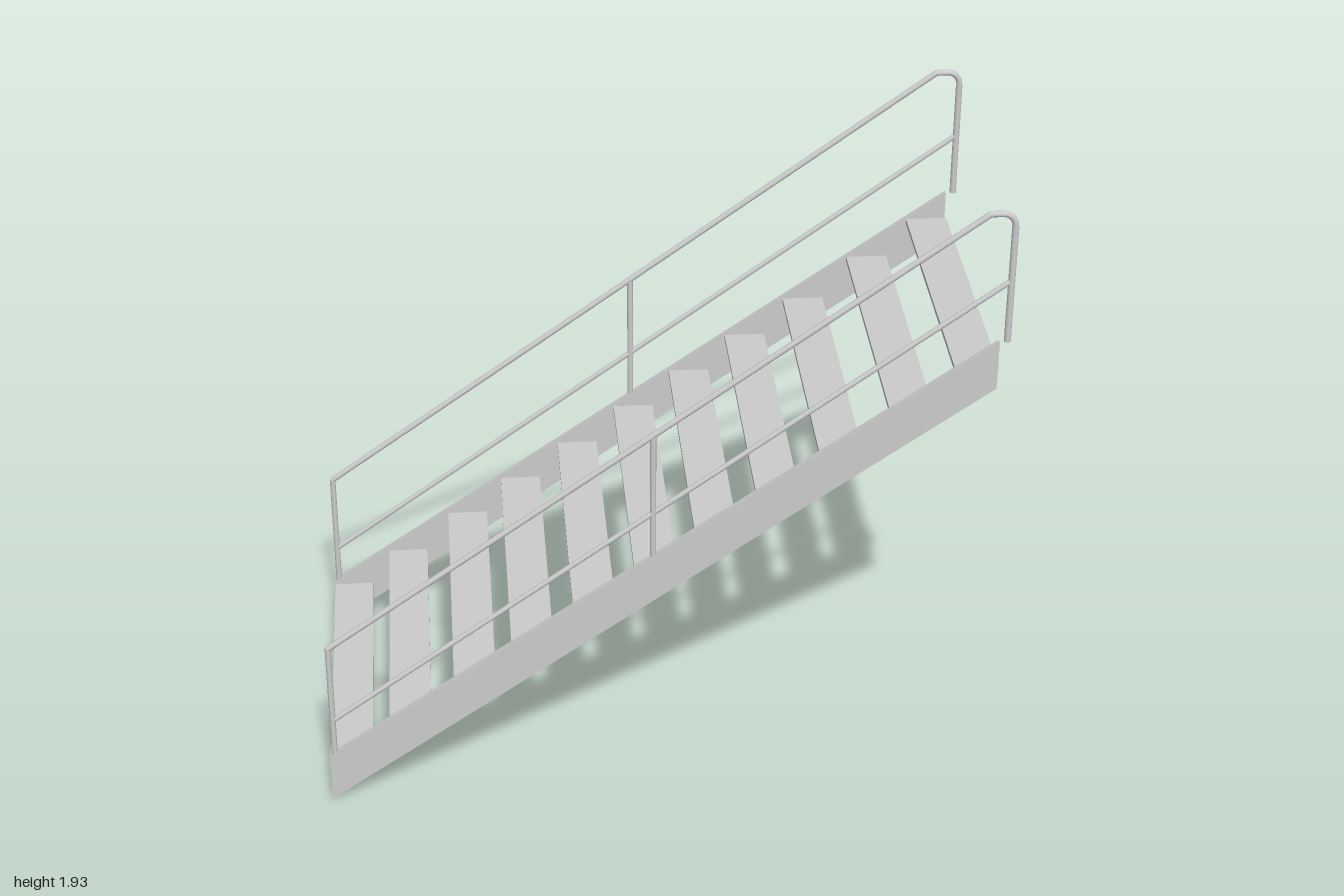
import * as THREE from 'three';

const material = new THREE.MeshStandardMaterial({ color: 0xcccccc });
const R = 0.009; // tube radius
const SIDE_Z = 0.468; // centre plane of each stringer and railing

function add(parent, name, geometry) {
  const mesh = new THREE.Mesh(geometry, material);
  mesh.name = name;
  parent.add(mesh);
  return mesh;
}

// Round bar between two points of the side plane
function rod(parent, name, [x0, y0], [x1, y1], radius = R) {
  const dx = x1 - x0, dy = y1 - y0;
  const mesh = add(parent, name, new THREE.CylinderGeometry(radius, radius, Math.hypot(dx, dy), 16));
  mesh.position.set((x0 + x1) / 2, (y0 + y1) / 2, 0);
  mesh.rotation.z = Math.atan2(dy, dx) - Math.PI / 2;
}

function createSide(name) {
  const side = new THREE.Group();
  side.name = name;

  // Sloped stringer plate with vertical ends
  const outline = new THREE.Shape([[-1, 0], [0.965, 1.37], [0.965, 1.52], [-1, 0.16]]
    .map(([x, y]) => new THREE.Vector2(x, y)));
  const plate = new THREE.ExtrudeGeometry(outline, { depth: 0.02, bevelEnabled: false });
  add(side, 'stringer', plate.translate(0, 0, -0.01));

  // Posts
  rod(side, 'lowerPost', [-0.985, 0.155], [-0.985, 0.555]);
  rod(side, 'middlePost', [-0.018, 0.838], [-0.018, 1.245]);
  rod(side, 'upperPost', [0.988, 1.52], [0.988, 1.885], 0.01);

  // Sloped rails
  rod(side, 'handrail', [-0.985, 0.555], [0.915, 1.925]);
  rod(side, 'midRail', [-0.985, 0.29], [0.988, 1.715], 0.008);
  add(side, 'lowerCorner', new THREE.SphereGeometry(R, 16, 10)).position.set(-0.985, 0.555, 0);

  // Rounded return from the handrail into the upper post
  const bend = new THREE.CurvePath();
  const v = (x, y) => new THREE.Vector3(x, y, 0);
  bend.add(new THREE.QuadraticBezierCurve3(v(0.908, 1.92), v(0.915, 1.926), v(0.925, 1.926)));
  bend.add(new THREE.LineCurve3(v(0.925, 1.926), v(0.95, 1.926)));
  bend.add(new THREE.CubicBezierCurve3(v(0.95, 1.926), v(0.972, 1.926), v(0.988, 1.908), v(0.988, 1.885)));
  add(side, 'handrailBend', new THREE.TubeGeometry(bend, 32, R, 16));
  return side;
}

export function createModel() {
  const model = new THREE.Group();
  model.name = 'staircase';

  for (const s of [1, -1]) {
    const side = createSide(s > 0 ? 'frontSide' : 'backSide');
    side.position.z = s * SIDE_Z;
    model.add(side);
  }

  // Open treads: [centre x, centre y]
  const treads = [
    [-0.935, 0.145], [-0.752, 0.27], [-0.553, 0.408], [-0.378, 0.535],
    [-0.192, 0.661], [-0.01, 0.79], [0.167, 0.915], [0.345, 1.037],
    [0.527, 1.162], [0.724, 1.303], [0.907, 1.429],
  ];
  for (const [x, y] of treads) {
    add(model, 'tread', new THREE.BoxGeometry(0.126, 0.014, 0.918)).position.set(x, y, 0);
  }
  return model;
}
